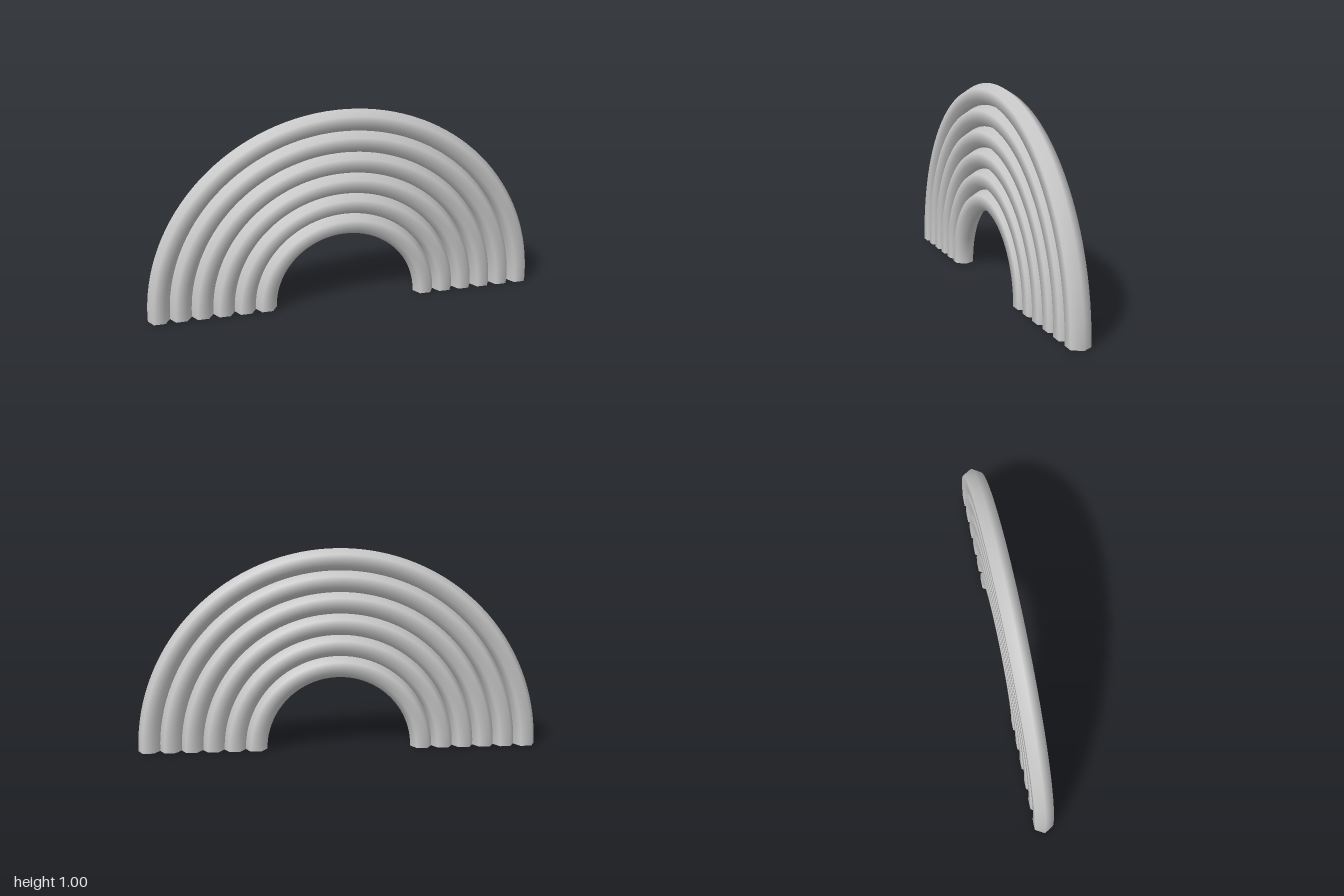
import * as THREE from 'three';

export function createModel() {
  const group = new THREE.Group();
  group.name = 'rainbow';
  const material = new THREE.MeshStandardMaterial({ color: 0xcccccc, side: THREE.DoubleSide });

  const bands = 6;
  const tube = 0.0545; // six-sided tube radius
  const outer = 1 - tube;
  const spacing = 0.106; // slightly under one tube width, so bands overlap

  // Concentric half-ring bands, open at the feet
  for (let i = 0; i < bands; i++) {
    const geometry = new THREE.TorusGeometry(outer - i * spacing, tube, 6, 64, Math.PI);
    const band = new THREE.Mesh(geometry, material);
    band.name = `archBand${i + 1}`;
    group.add(band);
  }
  return group;
}
